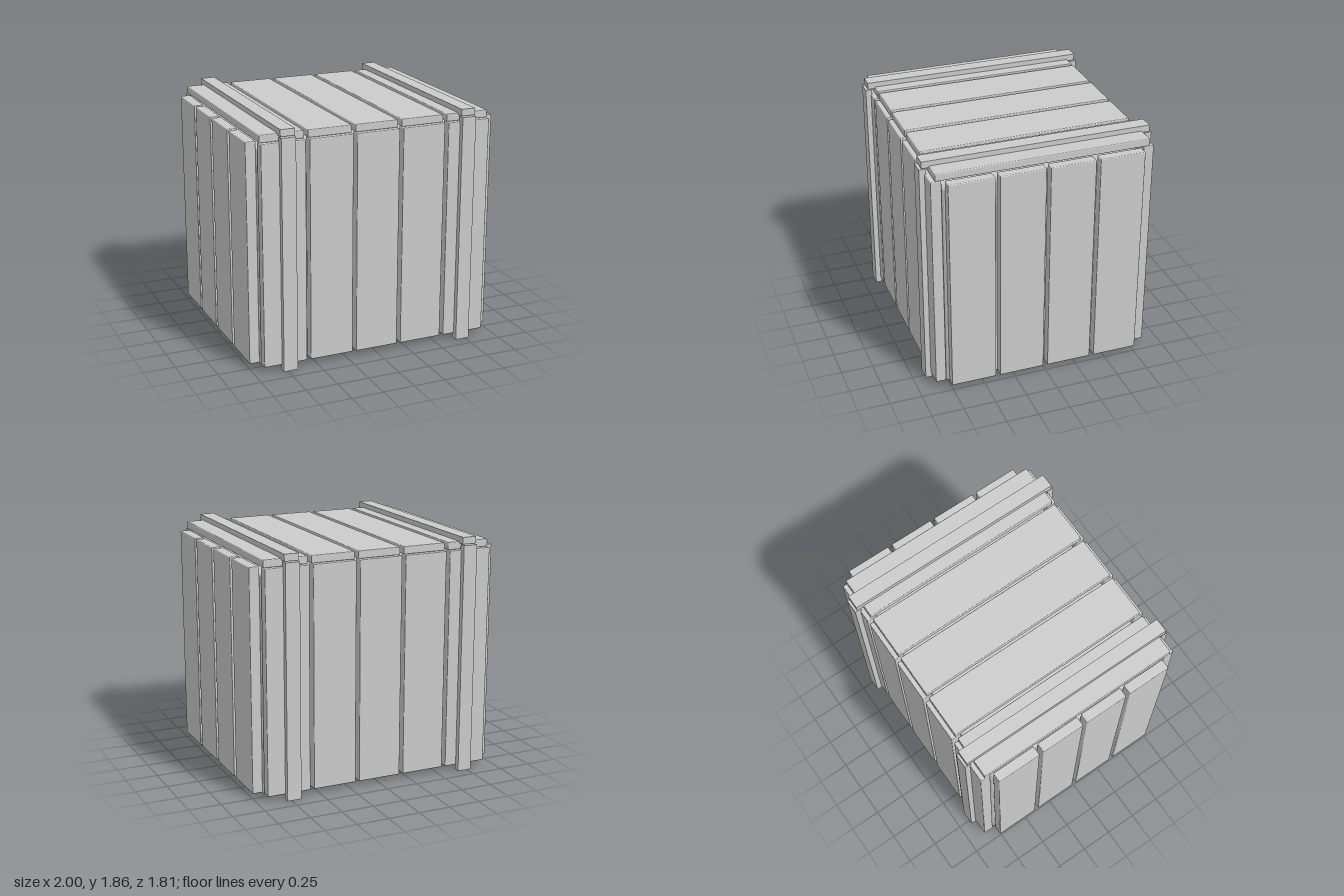
import * as THREE from 'three';
import { RoundedBoxGeometry } from 'three/addons/geometries/RoundedBoxGeometry.js';

const material = new THREE.MeshStandardMaterial({ color: 0xcccccc });

// Box given by its min and max on each axis, with an optional softened edge
function block(name, [x0, x1], [y0, y1], [z0, z1], bevel = 0) {
  const size = [x1 - x0, y1 - y0, z1 - z0];
  const geometry = bevel
    ? new RoundedBoxGeometry(...size, 1, bevel)
    : new THREE.BoxGeometry(...size);
  const mesh = new THREE.Mesh(geometry, material);
  mesh.name = name;
  mesh.position.set((x0 + x1) / 2, (y0 + y1) / 2, (z0 + z1) / 2);
  return mesh;
}

// Range along an axis, flipped to the negative side when sign is -1
const mirrored = (a, b, sign) => (sign > 0 ? [a, b] : [-b, -a]);

// Evenly spaced plank ranges filling -half..half with a gap between them
function plankRanges(count, half, gap) {
  const width = (2 * half - gap * (count - 1)) / count;
  return Array.from({ length: count }, (_, i) => {
    const start = -half + i * (width + gap);
    return [start, start + width];
  });
}

export function createModel() {
  const crate = new THREE.Group();
  crate.name = 'crate';
  const bevel = 0.007;
  const wall = [0.04, 1.76];

  // Solid inner box seen through the gaps
  crate.add(block('innerBox', [-0.92, 0.92], [0.02, 1.7], [-0.775, 0.775], 0.025));

  // Front, back and lid planks share the same spacing
  for (const x of plankRanges(5, 0.92, 0.03)) {
    crate.add(block('frontPlank', x, wall, [0.78, 0.862], bevel));
    crate.add(block('backPlank', x, wall, [-0.862, -0.78], bevel));
    crate.add(block('lidPlank', x, [1.76, 1.82], [-0.828, 0.828], bevel));
  }

  for (const side of [1, -1]) {
    // Side wall planks
    for (const z of plankRanges(4, 0.758, 0.033)) {
      crate.add(block('sidePlank', mirrored(0.92, 1, side), wall, z, bevel));
    }

    // Batten running over the lid and down the front and back
    const batten = new THREE.Group();
    batten.name = 'batten';
    const x = mirrored(0.67, 0.782, side);
    batten.add(block('lidBatten', x, [1.807, 1.86], [-0.885, 0.885]));
    for (const face of [1, -1]) {
      batten.add(block('wallBatten', x, [0, 1.8], mirrored(0.852, 0.903, face)));
    }
    crate.add(batten);
  }
  return crate;
}
